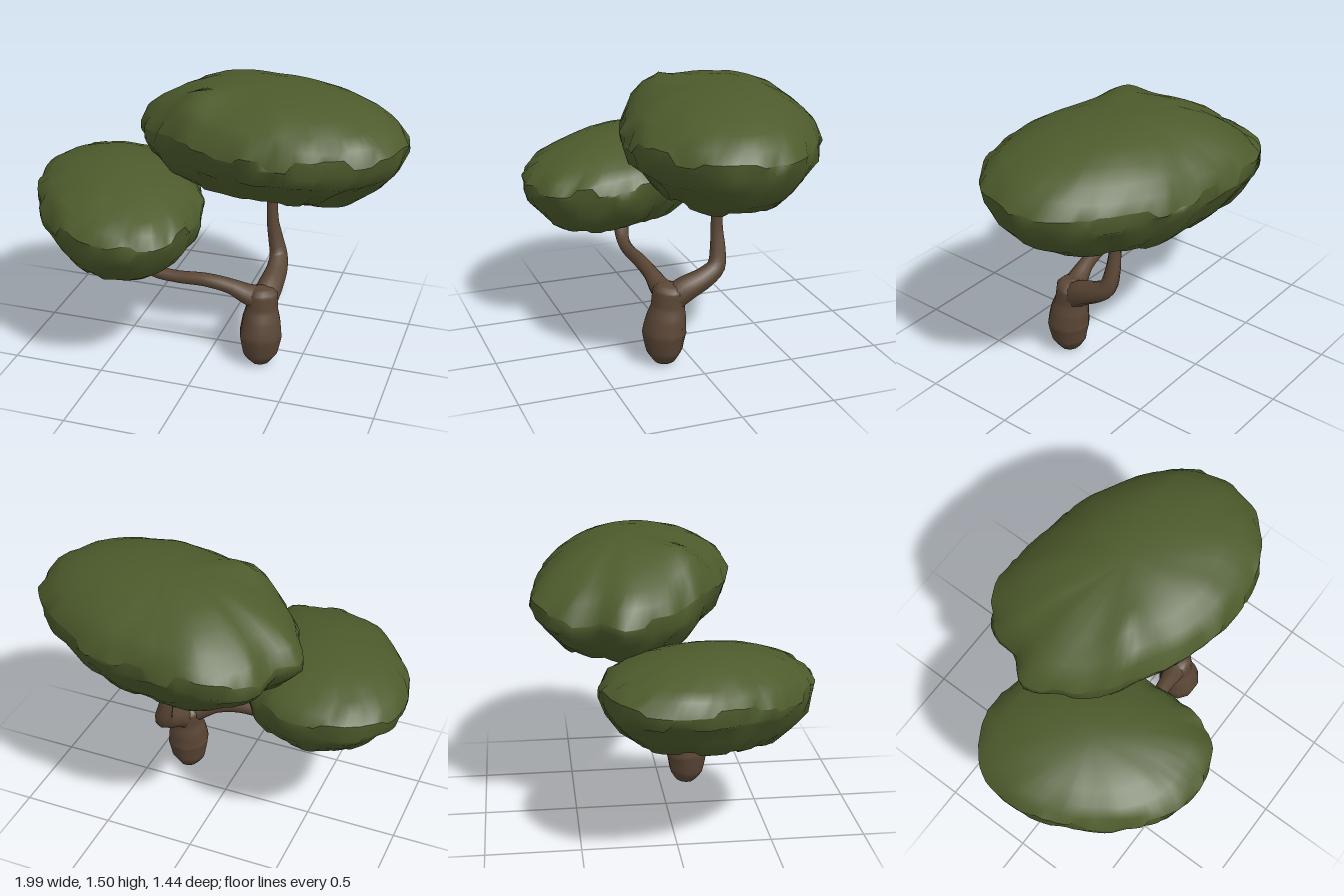
import * as THREE from 'three';
import { mergeVertices } from 'three/addons/utils/BufferGeometryUtils.js';

const leaf = new THREE.MeshStandardMaterial({ color: 0x4d5b2c });
leaf.name = 'leafGreen';
const bark = new THREE.MeshStandardMaterial({ color: 0x5a4635 });
bark.name = 'barkBrown';

const hash = (a, b) => {
  const v = Math.sin(a * 12.9898 + b * 78.233) * 43758.5453;
  return (v - Math.floor(v)) * 2 - 1;
};

// Weld the vertices and smooth the normals
function smoothMesh(name, geo, material) {
  const welded = mergeVertices(geo, 1e-5);
  welded.computeVertexNormals();
  const mesh = new THREE.Mesh(welded, material);
  mesh.name = name;
  return mesh;
}

// Tapered limb: rows of [x, y, z, radius]
function limb(name, rows, sides = 9) {
  const path = new THREE.CatmullRomCurve3(rows.map(r => new THREE.Vector3(r[0], r[1], r[2])), false, 'centripetal');
  const steps = rows.length * 4;
  const geo = new THREE.TubeGeometry(path, steps, 1, sides);
  const pos = geo.attributes.position;
  const v = new THREE.Vector3();
  for (let i = 0; i <= steps; i++) {
    const c = path.getPointAt(i / steps);
    const t = path.getUtoTmapping(i / steps) * (rows.length - 1);
    const k = Math.min(Math.floor(t), rows.length - 2);
    const r = THREE.MathUtils.lerp(rows[k][3], rows[k + 1][3], t - k);
    for (let j = 0; j <= sides; j++) {
      const n = i * (sides + 1) + j;
      v.fromBufferAttribute(pos, n).sub(c).multiplyScalar(r).add(c);
      pos.setXYZ(n, v.x, v.y, v.z);
    }
  }
  geo.deleteAttribute('uv');
  geo.deleteAttribute('normal');
  return smoothMesh(name, geo, bark);
}

const SEG = 84;

// Loft of rings [scale, height, raggedness] over a plan outline; one grid of points
function foliagePoints(outline, centre, rings, seed, lift) {
  const curve = new THREE.CatmullRomCurve3(outline.map(p => new THREE.Vector3(p[0], 0, p[1])), true);
  const rim = curve.getSpacedPoints(SEG);
  return rings.map(([s, y, rag], i) => rim.slice(0, SEG).map((p, j) => {
    const a = j / SEG * Math.PI * 2;
    const wave = Math.sin(a * 5 + seed + i * 0.6) * 0.008 + Math.sin(a * 11 + seed * 2 - i) * 0.007;
    const k = s * (1 + wave + hash(Math.floor(j / 2), seed + i) * rag * 0.6);
    const x = centre[0] + (p.x - centre[0]) * k;
    const z = centre[1] + (p.z - centre[1]) * k;
    const clump = Math.floor(j / (s < 0.5 ? 12 : 3));
    return [x, y + hash(clump, seed + 3 + i) * rag + lift(x, z, y), z];
  }));
}

function foliage(name, grid) {
  const idx = [];
  for (let i = 0; i < grid.length - 1; i++) {
    for (let j = 0; j < SEG; j++) {
      const a = i * SEG + j, b = i * SEG + (j + 1) % SEG;
      idx.push(a, a + SEG, b, b, a + SEG, b + SEG);
    }
  }
  const geo = new THREE.BufferGeometry();
  geo.setAttribute('position', new THREE.Float32BufferAttribute(grid.flat(2), 3));
  geo.setIndex(idx);
  return smoothMesh(name, geo, leaf);
}

// Canopy: domed crown and hollow skirt meeting at a ragged crease
function canopy(name, outline, centre, rings, crease, seed, lift) {
  const grid = foliagePoints(outline, centre, rings, seed, lift);
  const group = new THREE.Group();
  group.name = name;
  group.add(
    foliage(name + 'Skirt', grid.slice(0, crease + 1)),
    foliage(name + 'Crown', grid.slice(crease)),
  );
  return group;
}

// Height changes that make each canopy uneven
const highLift = (x, z, y) => {
  const left = Math.min(0, x + 0.1) * 0.16;
  const back = y > 1.2 ? Math.min(0, z + 0.32) * 0.1 : 0;
  const front = y < 1.1 ? Math.max(0, z - 0.05) * 0.25 : 0;
  const knoll = y > 1.3 ? 0.065 * Math.exp(-((x + 0.1) ** 2 + (z - 0.1) ** 2) / 0.018) : 0;
  return left + back + front + knoll;
};
const lowLift = (x, z, y) => -0.045 * (z - 0.15)
  + (y > 0.9 ? -0.03 * (x + 0.5) : 0)
  + (y < 0.8 ? Math.max(0, -0.6 - x) * 0.16 : 0);

export function createModel() {
  const tree = new THREE.Group();
  tree.name = 'tree';

  // Swollen trunk
  tree.add(limb('trunk', [
    [0.295, 0.001, 0.145, 0.001], [0.295, 0.008, 0.145, 0.045], [0.295, 0.07, 0.15, 0.095],
    [0.297, 0.18, 0.152, 0.118], [0.297, 0.27, 0.14, 0.106], [0.297, 0.33, 0.132, 0.09],
    [0.295, 0.42, 0.122, 0.088], [0.295, 0.455, 0.115, 0.045], [0.295, 0.46, 0.115, 0.001],
  ], 10));

  // Upright branch to the high canopy
  tree.add(limb('uprightBranch', [
    [0.3, 0.36, 0.12, 0.075], [0.315, 0.415, 0.04, 0.07], [0.322, 0.47, -0.07, 0.058],
    [0.312, 0.52, -0.135, 0.05], [0.29, 0.61, -0.152, 0.042], [0.27, 0.72, -0.153, 0.033],
    [0.265, 0.85, -0.157, 0.029], [0.265, 1.1, -0.16, 0.027],
  ]));

  // Long side branch to the low canopy
  tree.add(limb('sideBranch', [
    [0.31, 0.38, 0.13, 0.075], [0.22, 0.41, 0.15, 0.058], [0.13, 0.45, 0.165, 0.042],
    [0, 0.475, 0.18, 0.038], [-0.18, 0.472, 0.185, 0.034], [-0.3, 0.486, 0.18, 0.035],
    [-0.38, 0.54, 0.165, 0.042], [-0.44, 0.6, 0.15, 0.046], [-0.5, 0.72, 0.15, 0.035],
  ]));

  // High canopy, outline as [x, z] running from the back round to the left side
  tree.add(canopy('highCanopy', [
    [0, -0.725], [0.2, -0.69], [0.4, -0.67], [0.6, -0.585], [0.77, -0.475], [0.92, -0.32],
    [1.0, -0.15], [0.99, 0], [0.91, 0.17], [0.76, 0.3], [0.55, 0.375], [0.35, 0.39],
    [0.1, 0.325], [-0.13, 0.22], [-0.32, 0.1], [-0.46, -0.08], [-0.52, -0.27],
    [-0.42, -0.41], [-0.4, -0.56], [-0.22, -0.7],
  ], [0.25, -0.17], [
    [0, 1.06, 0], [0.2, 1.05, 0.02], [0.36, 1.02, 0.025], [0.48, 0.985, 0.02], [0.57, 0.95, 0.012],
    [0.68, 0.962, 0.012], [0.82, 1.045, 0.014], [0.93, 1.14, 0.014], [0.985, 1.22, 0.018],
    [0.985, 1.275, 0.038], [0.925, 1.34, 0.01], [0.82, 1.39, 0.004], [0.67, 1.44, 0.002],
    [0.48, 1.478, 0], [0.25, 1.499, 0], [0, 1.503, 0],
  ], 9, 1.7, highLift));

  // Low canopy
  tree.add(canopy('lowCanopy', [
    [-0.3, -0.31], [-0.14, -0.12], [-0.05, 0.08], [-0.01, 0.28], [-0.03, 0.46], [-0.12, 0.65],
    [-0.3, 0.71], [-0.5, 0.705], [-0.7, 0.58], [-0.85, 0.4], [-0.96, 0.2], [-1, 0],
    [-0.95, -0.22], [-0.8, -0.36], [-0.55, -0.405],
  ], [-0.5, 0.15], [
    [0, 0.71, 0], [0.2, 0.7, 0.02], [0.36, 0.665, 0.022], [0.48, 0.63, 0.018], [0.57, 0.603, 0.01],
    [0.68, 0.615, 0.01], [0.82, 0.68, 0.012], [0.94, 0.765, 0.014], [0.99, 0.84, 0.018],
    [0.985, 0.895, 0.036], [0.92, 0.95, 0.01], [0.8, 0.99, 0.004], [0.62, 1.03, 0.002],
    [0.42, 1.058, 0], [0.2, 1.074, 0], [0, 1.08, 0],
  ], 9, 4.2, lowLift));

  return tree;
}
